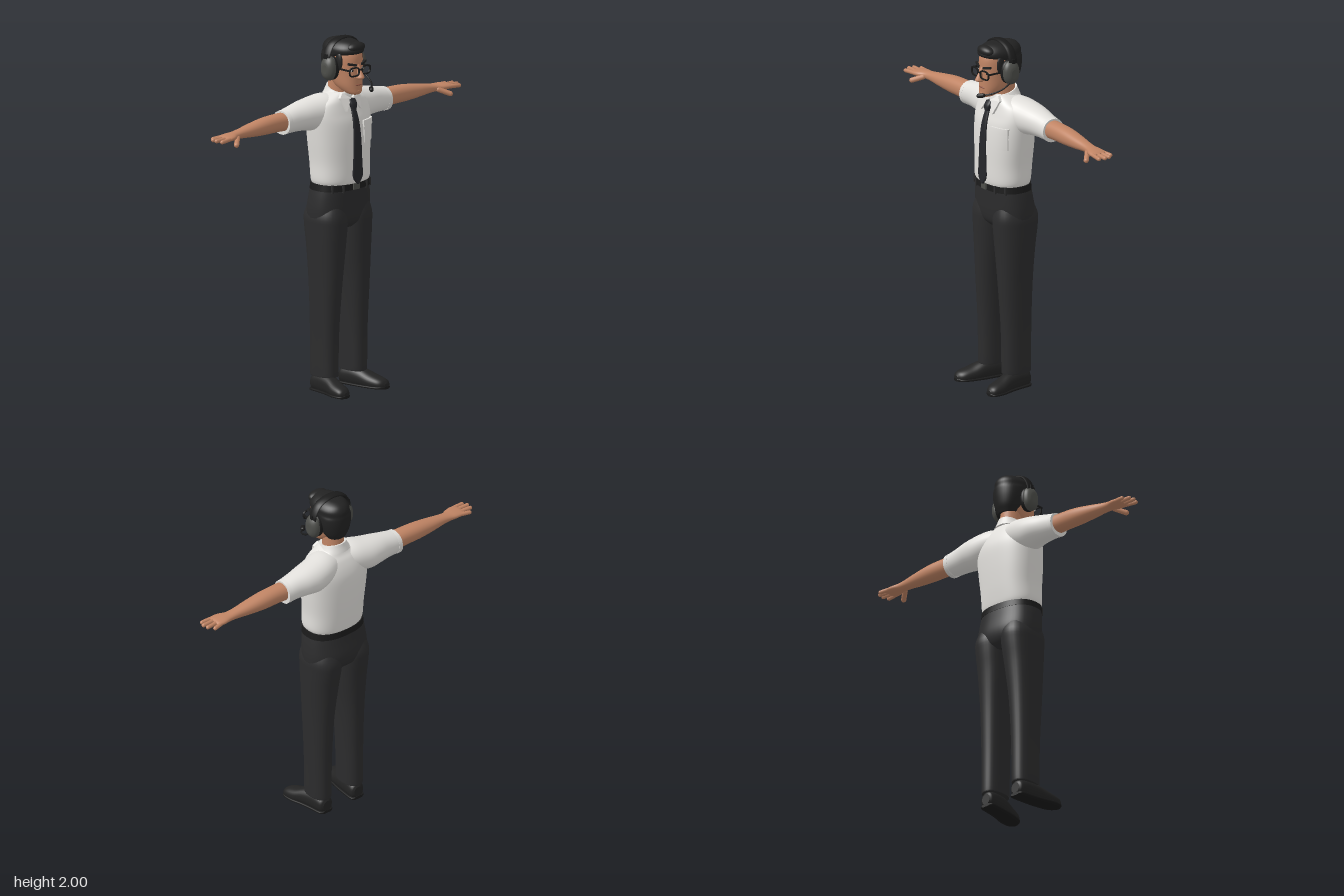
import * as THREE from 'three';

const paint = (name, color) => Object.assign(new THREE.MeshStandardMaterial({ color }), { name });
const skin = paint('skin', 0xc08464);
const shirt = paint('shirt cloth', 0xe2e0dc);
const cloth = paint('trouser cloth', 0x2c2c2d);
const hairMat = paint('hair', 0x222222);
const leather = paint('shoe leather', 0x232323);
const tieMat = paint('tie cloth', 0x25262a);
const grey = paint('headset grey', 0x4d4e4a);
const black = paint('black plastic', 0x1b1b1b);
const lip = paint('lips', 0x8f5543);
const white = paint('eye white', 0xd8d2ca);

// Smoothly interpolates rows of [position, centreA, centreB, radiusA, radiusB]
function sampler(rows) {
  const spline = new THREE.CubicInterpolant(rows.map((r, i) => i), rows.flat(), 5);
  return t => Array.from(spline.evaluate(t));
}

// Closed skin through superellipse sections along an axis.
// Radii order: axis y -> (x, z), axis x -> (z, y), axis z -> (y, x)
function loft(rows, axis = 'y', e = 2, n = 32, sub = 4) {
  const at = sampler(rows), steps = (rows.length - 1) * sub, pos = [], idx = [];
  const put = (t, a, b) => pos.push(...{ y: [a, t, b], x: [t, b, a], z: [b, a, t] }[axis]);
  const pw = v => Math.sign(v) * Math.abs(v) ** (2 / e);
  const ring = ([t, a, b, ra, rb]) => {
    for (let j = 0; j < n; j++) {
      const q = j / n * Math.PI * 2;
      put(t, a + ra * pw(Math.cos(q)), b + rb * pw(Math.sin(q)));
    }
  };
  for (let i = 0; i <= steps; i++) ring(at(i / sub));
  for (let i = 0; i < steps; i++) for (let j = 0; j < n; j++) {
    const p = i * n + j, q = i * n + (j + 1) % n;
    idx.push(p, p + n, q, q, p + n, q + n);
  }
  for (const end of [0, 1]) {
    const row = at(end * (rows.length - 1)), base = pos.length / 3;
    ring(row);
    put(row[0], row[1], row[2]);
    for (let j = 0; j < n; j++) {
      const p = base + j, q = base + (j + 1) % n;
      idx.push(base + n, ...(end ? [q, p] : [p, q]));
    }
  }
  const g = new THREE.BufferGeometry();
  g.setAttribute('position', new THREE.Float32BufferAttribute(pos, 3));
  g.setIndex(idx);
  g.computeVertexNormals();
  return g;
}

// Moves every vertex by a rule
function warp(g, rule) {
  const p = g.attributes.position, v = new THREE.Vector3();
  for (let i = 0; i < p.count; i++) {
    rule(v.fromBufferAttribute(p, i));
    p.setXYZ(i, v.x, v.y, v.z);
  }
  g.computeVertexNormals();
  return g;
}

// Copy reflected in x, with corner order kept outward
function mirrored(geo) {
  const g = geo.clone().scale(-1, 1, 1);
  const src = g.index ? Array.from(g.index.array) : Array.from({ length: g.attributes.position.count }, (_, i) => i);
  for (let i = 0; i < src.length; i += 3) [src[i], src[i + 1]] = [src[i + 1], src[i]];
  g.setIndex(src);
  return g;
}

const box = (w, h, d, x, y, z) => new THREE.BoxGeometry(w, h, d).translate(x, y, z);
const blob = (x, y, z, rx, ry, rz) => new THREE.SphereGeometry(1, 24, 16).scale(rx, ry, rz).translate(x, y, z);
const tube = (pts, r) => new THREE.TubeGeometry(new THREE.CatmullRomCurve3(pts.map(p => new THREE.Vector3(...p))), 40, r, 10);
function capsule(a, b, r) {
  const A = new THREE.Vector3(...a), d = new THREE.Vector3(...b).sub(A), len = d.length();
  const q = new THREE.Quaternion().setFromUnitVectors(new THREE.Vector3(0, 1, 0), d.clone().normalize());
  return new THREE.CapsuleGeometry(r, len, 5, 12).applyQuaternion(q).translate(...A.addScaledVector(d, 0.5).toArray());
}

const torsoRows = [
  [1.178, 0, -0.025, 0.17, 0.122], [1.21, 0, -0.025, 0.179, 0.128], [1.3, 0, -0.03, 0.18, 0.133],
  [1.42, 0, -0.035, 0.192, 0.136], [1.52, 0, -0.04, 0.2, 0.132], [1.58, 0, -0.043, 0.2, 0.118],
  [1.63, 0, -0.04, 0.175, 0.1], [1.66, 0, -0.033, 0.125, 0.086], [1.69, 0, -0.03, 0.07, 0.075]];
const torsoAt = sampler(torsoRows), torsoE = 2.4;

// Depth of the shirt front at a given x and y
function front(x, y) {
  let lo = 0, hi = torsoRows.length - 1;
  for (let i = 0; i < 25; i++) {
    const mid = (lo + hi) / 2;
    if (torsoAt(mid)[0] < y) lo = mid; else hi = mid;
  }
  const [, , cz, rx, rz] = torsoAt(lo);
  return cz + rz * Math.max(0, 1 - Math.abs(x / rx) ** torsoE) ** (1 / torsoE);
}
const patch = (w, h, d, x, y) => warp(new THREE.BoxGeometry(w, h, d, 10, 8, 1).translate(x, y, 0), v => { v.z += front(v.x, v.y); });

export function createModel() {
  const model = new THREE.Group();
  const add = (name, geo, mat) => {
    const m = new THREE.Mesh(geo, mat);
    m.name = name;
    model.add(m);
  };
  const pair = (name, geo, mat) => {
    add('left ' + name, geo, mat);
    add('right ' + name, mirrored(geo), mat);
  };

  // Trousers and belt
  add('trouser hips', loft([[0.925, 0, -0.04, 0.11, 0.085], [0.96, 0, -0.042, 0.183, 0.118], [1.02, 0, -0.042, 0.195, 0.13],
    [1.1, 0, -0.034, 0.19, 0.126], [1.175, 0, -0.027, 0.178, 0.122]], 'y', 2.4, 48), cloth);
  pair('trouser leg', loft([[0.09, 0.112, -0.037, 0.057, 0.086], [0.12, 0.112, -0.037, 0.059, 0.088], [0.35, 0.111, -0.036, 0.063, 0.09],
    [0.6, 0.107, -0.033, 0.073, 0.102], [0.8, 0.1, -0.036, 0.089, 0.116], [0.93, 0.096, -0.041, 0.098, 0.129],
    [1.0, 0.094, -0.042, 0.099, 0.13], [1.08, 0.085, -0.036, 0.08, 0.105]], 'y', 2.3), cloth);
  add('belt', loft([[1.147, 0, -0.028, 0.184, 0.127], [1.183, 0, -0.027, 0.18, 0.125]], 'y', 2.4, 48), black);
  add('belt buckle', box(0.045, 0.034, 0.01, 0, 1.165, 0.1), grey);
  for (const x of [0.09, 0.145]) pair('belt loop', box(0.012, 0.045, 0.012, x, 1.162, x < 0.1 ? 0.089 : 0.058), cloth);

  // Shoes, flattened where they meet the ground
  const shoe = [[-0.118, 0.045, 0.11, 0.03, 0.028], [-0.1, 0.047, 0.112, 0.048, 0.044], [-0.04, 0.05, 0.118, 0.058, 0.047],
    [0.03, 0.045, 0.128, 0.053, 0.05], [0.09, 0.032, 0.142, 0.043, 0.053], [0.14, 0.026, 0.151, 0.034, 0.048],
    [0.165, 0.022, 0.156, 0.026, 0.036], [0.178, 0.02, 0.158, 0.012, 0.014]];
  pair('shoe', warp(loft(shoe, 'z', 2.2), v => { v.y = Math.max(v.y, 0.008); }), leather);
  pair('shoe sole', loft(shoe.map(([z, , x, , r]) => [z * 1.01, 0.008, x, 0.008, r * 1.06]), 'z', 4), black);

  // Shirt body, sleeves, collar and pocket
  add('shirt body', loft(torsoRows, 'y', torsoE, 56, 5), shirt);
  pair('shirt sleeve', loft([[0.03, -0.05, 1.6, 0.085, 0.075], [0.1, -0.06, 1.592, 0.1, 0.09], [0.18, -0.075, 1.578, 0.098, 0.092],
    [0.25, -0.08, 1.576, 0.088, 0.082], [0.32, -0.081, 1.571, 0.074, 0.073], [0.4, -0.082, 1.562, 0.066, 0.065]], 'x', 2.1), shirt);
  pair('sleeve hem', loft([[0.378, -0.082, 1.564, 0.069, 0.068], [0.402, -0.082, 1.562, 0.068, 0.067]], 'x', 2.1), shirt);
  add('shirt collar', warp(loft([[1.65, 0, -0.033, 0.1, 0.09], [1.68, 0, -0.034, 0.08, 0.079], [1.703, 0, -0.035, 0.068, 0.072]]),
    v => { v.y -= (v.z + 0.035) * 0.3; }), shirt);
  const wing = new THREE.Shape([[0.008, 1.66], [0.055, 1.592], [0.078, 1.665], [0.052, 1.69]].map(p => new THREE.Vector2(...p)));
  pair('collar wing', warp(new THREE.ExtrudeGeometry(wing, { depth: 0.016, bevelEnabled: false }), v => { v.z += front(v.x, v.y); }), shirt);
  add('shirt pocket', patch(0.1, 0.115, 0.012, 0.112, 1.46), shirt);
  add('pocket flap', patch(0.106, 0.036, 0.022, 0.112, 1.508), shirt);

  // Tie
  const tieRow = ([y, r]) => [y, 0, front(0, Math.max(y, 1.21)) + 0.008, r, 0.008];
  add('tie', loft([[1.18, 0.004], [1.222, 0.037], [1.3, 0.034], [1.38, 0.031], [1.46, 0.027], [1.54, 0.022], [1.615, 0.016]].map(tieRow), 'y', 2.6, 24), tieMat);
  add('tie knot', loft([[1.6, 0, 0.081, 0.016, 0.012], [1.63, 0, 0.074, 0.024, 0.016], [1.655, 0, 0.062, 0.023, 0.012]], 'y', 2.6, 24), tieMat);

  // Bare arms and hands
  pair('arm', loft([[0.36, -0.08, 1.566, 0.054, 0.052], [0.45, -0.08, 1.569, 0.051, 0.05], [0.55, -0.08, 1.567, 0.05, 0.047],
    [0.65, -0.078, 1.563, 0.043, 0.037], [0.73, -0.076, 1.56, 0.034, 0.027], [0.78, -0.073, 1.558, 0.035, 0.022],
    [0.82, -0.067, 1.558, 0.047, 0.02], [0.86, -0.065, 1.557, 0.05, 0.016], [0.878, -0.065, 1.556, 0.043, 0.01]], 'x', 2.2), skin);
  for (const [z0, z1, tip, y] of [[-0.103, -0.113, 0.905, 1.553], [-0.078, -0.084, 0.933, 1.556], [-0.052, -0.053, 0.938, 1.556], [-0.028, -0.022, 0.925, 1.553]])
    pair('finger', capsule([0.85, 1.557, z0], [tip, y, z1], 0.0115), skin);
  pair('thumb', capsule([0.785, 1.55, -0.042], [0.835, 1.525, 0.0], 0.0145), skin);

  // Head and face
  add('neck', loft([[1.62, 0, -0.035, 0.062, 0.065], [1.72, 0, -0.033, 0.06, 0.063], [1.8, 0, -0.02, 0.06, 0.07]]), skin);
  add('head', loft([[1.685, 0, 0.085, 0.02, 0.024], [1.695, 0, 0.077, 0.042, 0.044], [1.72, 0, 0.05, 0.061, 0.071],
    [1.75, 0, 0.03, 0.073, 0.09], [1.8, 0, 0.006, 0.081, 0.113], [1.85, 0, 0, 0.085, 0.119], [1.9, 0, -0.002, 0.084, 0.119],
    [1.94, 0, -0.002, 0.074, 0.102], [1.965, 0, 0, 0.05, 0.07], [1.975, 0, 0, 0.02, 0.03]], 'y', 2.2, 40), skin);
  add('nose', loft([[1.774, 0, 0.122, 0.01, 0.012], [1.784, 0, 0.13, 0.021, 0.026], [1.8, 0, 0.127, 0.017, 0.025],
    [1.83, 0, 0.118, 0.011, 0.016], [1.86, 0, 0.11, 0.011, 0.009]], 'y', 2, 20), skin);
  add('mouth', blob(0, 1.742, 0.116, 0.026, 0.005, 0.008), lip);
  add('chin', blob(0, 1.706, 0.103, 0.03, 0.018, 0.02), skin);
  pair('eye', blob(0.04, 1.826, 0.104, 0.016, 0.008, 0.008), white);
  pair('pupil', blob(0.039, 1.827, 0.111, 0.006, 0.007, 0.003), hairMat);
  pair('eyebrow', new THREE.BoxGeometry(0.05, 0.012, 0.016).rotateZ(0.2).rotateY(0.3).translate(0.042, 1.861, 0.11), hairMat);

  // Hair with a swept front
  add('hair', loft([[1.762, 0, -0.062, 0.055, 0.045], [1.8, 0, -0.05, 0.078, 0.072], [1.85, 0, -0.048, 0.09, 0.082],
    [1.895, 0, -0.038, 0.093, 0.094], [1.918, 0, -0.005, 0.093, 0.125], [1.945, 0, -0.002, 0.09, 0.126],
    [1.97, 0, -0.004, 0.07, 0.106], [1.985, 0, -0.004, 0.042, 0.07], [1.989, 0, -0.004, 0.015, 0.025]], 'y', 2.1, 40), hairMat);
  add('hair quiff', blob(0.005, 1.95, 0.092, 0.062, 0.03, 0.037), hairMat);
  pair('sideburn', blob(0.08, 1.875, 0.045, 0.012, 0.05, 0.025), hairMat);

  // Glasses
  const oval = (shape, rx, ry) => {
    for (let i = 0; i < 32; i++) {
      const q = i / 32 * Math.PI * 2, f = v => Math.sign(v) * Math.abs(v) ** 0.65;
      shape[i ? 'lineTo' : 'moveTo'](rx * f(Math.cos(q)), ry * f(Math.sin(q)));
    }
    return shape;
  };
  const rim = oval(new THREE.Shape(), 0.037, 0.027);
  rim.holes.push(oval(new THREE.Path(), 0.03, 0.02));
  pair('glasses rim', new THREE.ExtrudeGeometry(rim, { depth: 0.008, bevelEnabled: false }).rotateY(0.1).translate(0.045, 1.823, 0.126), black);
  add('glasses bridge', box(0.02, 0.007, 0.008, 0, 1.832, 0.137), black);
  pair('glasses temple', box(0.006, 0.009, 0.125, 0.084, 1.835, 0.066), black);

  // Headset
  add('headset band', tube([[-0.122, 1.86, 0], [-0.12, 1.91, 0], [-0.083, 1.968, 0], [0, 1.991, 0], [0.083, 1.968, 0], [0.12, 1.91, 0], [0.122, 1.86, 0]], 0.009)
    .scale(1, 1, 3).translate(0, 0, -0.008), black);
  pair('ear cushion', loft([[0.078, 0, 1.836, 0.044, 0.06], [0.085, 0, 1.836, 0.05, 0.067], [0.1, 0, 1.836, 0.051, 0.068], [0.108, 0, 1.836, 0.046, 0.063]], 'x', 2.2), black);
  pair('ear cup', loft([[0.104, 0, 1.836, 0.047, 0.066], [0.115, 0, 1.836, 0.05, 0.069], [0.132, 0, 1.834, 0.044, 0.06], [0.144, 0, 1.832, 0.03, 0.042], [0.148, 0, 1.832, 0.018, 0.026]], 'x', 2.2), grey);
  pair('cup bracket', box(0.012, 0.06, 0.02, 0.129, 1.885, -0.005), black);
  add('microphone boom', tube([[0.128, 1.785, 0.01], [0.128, 1.755, 0.06], [0.105, 1.732, 0.115], [0.06, 1.716, 0.155]], 0.0045), black);
  add('microphone', capsule([0.064, 1.717, 0.152], [0.048, 1.714, 0.17], 0.0125), black);

  return model;
}
